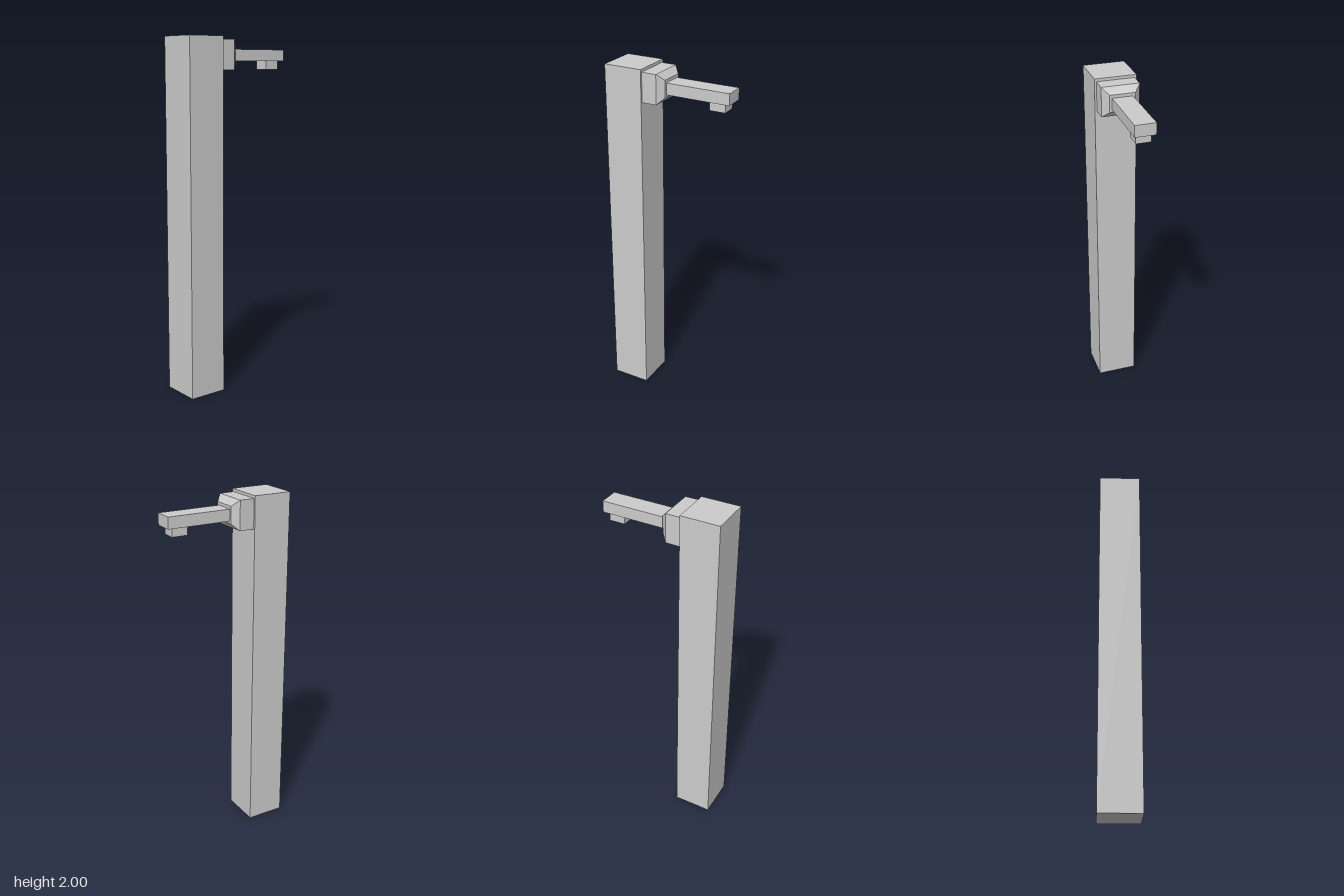
import * as THREE from 'three';

const material = new THREE.MeshStandardMaterial({ color: 0xcccccc, flatShading: true });

// Box given by its extents along x and y, and its half depth in z
function block(name, x0, x1, y0, y1, halfZ) {
  const geometry = new THREE.BoxGeometry(x1 - x0, y1 - y0, halfZ * 2);
  geometry.translate((x0 + x1) / 2, (y0 + y1) / 2, 0);
  const mesh = new THREE.Mesh(geometry, material);
  mesh.name = name;
  return mesh;
}

// Shrinks the +x end of a block towards its centre line
function taperEnd(mesh, scaleY, scaleZ) {
  const geometry = mesh.geometry;
  geometry.computeBoundingBox();
  const { min, max } = geometry.boundingBox;
  const midX = (min.x + max.x) / 2, midY = (min.y + max.y) / 2;
  const p = geometry.attributes.position;
  for (let i = 0; i < p.count; i++) {
    if (p.getX(i) < midX) continue;
    p.setY(i, midY + (p.getY(i) - midY) * scaleY);
    p.setZ(i, p.getZ(i) * scaleZ);
  }
  geometry.computeVertexNormals();
  return mesh;
}

export function createModel() {
  const model = new THREE.Group();
  model.name = 'postWithArm';

  // Tall square post
  model.add(block('post', -0.353, -0.132, 0, 2, 0.116));

  // Collar on the side of the post, chamfered towards the arm
  const collar = new THREE.Group();
  collar.name = 'collar';
  collar.add(block('collarBase', -0.132, -0.047, 1.82, 1.984, 0.105));
  collar.add(taperEnd(block('collarTaper', -0.047, -0.012, 1.82, 1.984, 0.105), 0.58, 0.67));
  model.add(collar);

  // Horizontal arm with a small outlet under its tip
  model.add(block('arm', -0.012, 0.352, 1.868, 1.932, 0.057));
  model.add(block('outlet', 0.233, 0.323, 1.82, 1.868, 0.041));

  return model;
}
